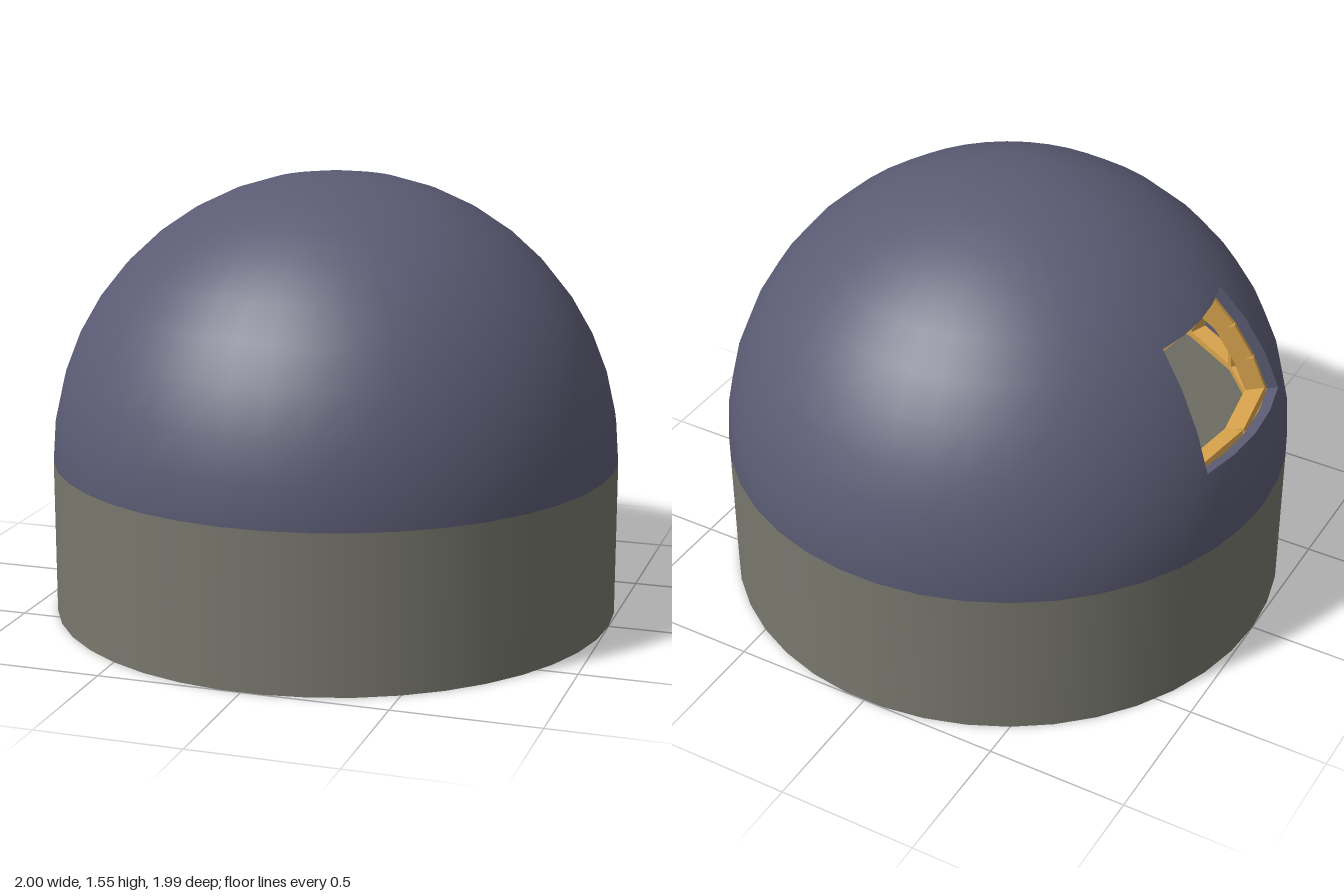
import * as THREE from 'three';

const SEG = 42, STEP = (Math.PI * 2) / SEG, BASE = 0.55;
const OUTER = 1, INNER = 0.96, WALL_INNER = 0.905;

const slate = new THREE.MeshStandardMaterial({ color: 0x5b5b74, side: THREE.DoubleSide });
slate.name = 'slate dome';
const stone = new THREE.MeshStandardMaterial({ color: 0x78786e, side: THREE.DoubleSide });
stone.name = 'grey stone';
const timber = new THREE.MeshStandardMaterial({ color: 0xd6a24c });
timber.name = 'golden timber';

// Point on the dome: i latitude steps up, j longitude steps from -x
function dome(i, j, r) {
  const lat = i > 10 ? Math.PI / 2 : i * STEP;
  const lon = Math.PI + j * STEP;
  return new THREE.Vector3(
    r * Math.cos(lat) * Math.cos(lon), r * Math.sin(lat), r * Math.cos(lat) * Math.sin(lon));
}

// The opening spans bands 2..4 and two columns each side of -x
const inOpening = (i, j) => i >= 2 && i <= 4 && (j < 2 || j >= SEG - 2);

// Smooth dome skin with the opening left out
function skin(r, inward) {
  const pos = [], nor = [], idx = [];
  for (let i = 0; i <= 11; i++) for (let j = 0; j < SEG; j++) {
    const p = dome(i, j, r);
    pos.push(p.x, p.y, p.z);
    p.normalize().multiplyScalar(inward ? -1 : 1);
    nor.push(p.x, p.y, p.z);
  }
  for (let i = 0; i < 11; i++) for (let j = 0; j < SEG; j++) {
    if (inOpening(i, j)) continue;
    const k = (j + 1) % SEG;
    const a = i * SEG + j, b = i * SEG + k, c = a + SEG, d = b + SEG;
    if (inward) idx.push(a, b, c, b, d, c);
    else idx.push(a, c, b, b, c, d);
  }
  const g = new THREE.BufferGeometry();
  g.setAttribute('position', new THREE.Float32BufferAttribute(pos, 3));
  g.setAttribute('normal', new THREE.Float32BufferAttribute(nor, 3));
  g.setIndex(idx);
  return g;
}

// Thickness faces around the opening
function reveal() {
  const path = [];
  for (let j = -2; j < 2; j++) path.push([2, j]);
  for (let i = 2; i < 5; i++) path.push([i, 2]);
  for (let j = 2; j > -2; j--) path.push([5, j]);
  for (let i = 5; i > 2; i--) path.push([i, -2]);
  const pos = [];
  path.forEach((p, n) => {
    const q = path[(n + 1) % path.length];
    const a = dome(...p, OUTER), b = dome(...q, OUTER);
    const c = dome(...p, INNER), d = dome(...q, INNER);
    for (const v of [a, b, c, b, d, c]) pos.push(v.x, v.y, v.z);
  });
  const g = new THREE.BufferGeometry();
  g.setAttribute('position', new THREE.Float32BufferAttribute(pos, 3));
  g.computeVertexNormals();
  return g;
}

// Straight timber between two dome points, deep side facing the centre
function beam(a, b) {
  const along = b.clone().sub(a);
  const length = along.length();
  along.normalize();
  const mid = a.clone().add(b).multiplyScalar(0.5);
  const side = new THREE.Vector3().crossVectors(along, mid).normalize();
  const out = new THREE.Vector3().crossVectors(side, along);
  const mesh = new THREE.Mesh(new THREE.BoxGeometry(length, 0.024, 0.07), timber);
  mesh.applyMatrix4(new THREE.Matrix4().makeBasis(along, side, out).setPosition(mid));
  return mesh;
}

export function createModel() {
  const model = new THREE.Group();
  model.name = 'domedBuilding';
  const add = (parent, geometry, material, name, y = 0) => {
    const mesh = new THREE.Mesh(geometry, material);
    mesh.name = name;
    mesh.position.y = y;
    parent.add(mesh);
    return mesh;
  };

  // Round wall
  const wall = new THREE.Group();
  wall.name = 'wall';
  model.add(wall);
  const tube = (r) => new THREE.CylinderGeometry(r, r, BASE, SEG, 1, true, STEP / 2);
  add(wall, tube(OUTER), stone, 'outerWall', BASE / 2);
  add(wall, tube(WALL_INNER), stone, 'innerWall', BASE / 2);
  const rim = () => new THREE.RingGeometry(WALL_INNER, OUTER, SEG, 1);
  add(wall, rim(), slate, 'wallFoot').rotation.x = Math.PI / 2;
  add(wall, rim(), stone, 'wallTop', BASE - 0.002).rotation.x = -Math.PI / 2;

  // Dome shell
  const shell = new THREE.Group();
  shell.name = 'domeShell';
  shell.position.y = BASE;
  model.add(shell);
  add(shell, skin(OUTER, false), slate, 'domeOutside');
  add(shell, skin(INNER, true), slate, 'domeInside');
  add(shell, reveal(), slate, 'openingReveal');

  // Timber lattice under the shell, left out across the opening
  const lattice = new THREE.Group();
  lattice.name = 'timberLattice';
  lattice.position.y = BASE;
  model.add(lattice);
  const R = 0.922;
  for (let j = 0; j < SEG; j += 2) {
    for (let i = 0; i <= 10; i++) {
      const nearOpening = j === 0 || j === SEG - 2;
      if (!(nearOpening && (i === 3 || i === 4))) {
        const hoop = beam(dome(i, j, R), dome(i, j + 2, R));
        hoop.name = 'hoopBeam';
        lattice.add(hoop);
      }
      if (i < 10 && !(j === 0 && i >= 2 && i <= 4)) {
        const rib = beam(dome(i, j, R), dome(i + 1, j, R));
        rib.name = 'ribBeam';
        lattice.add(rib);
      }
    }
  }
  return model;
}
